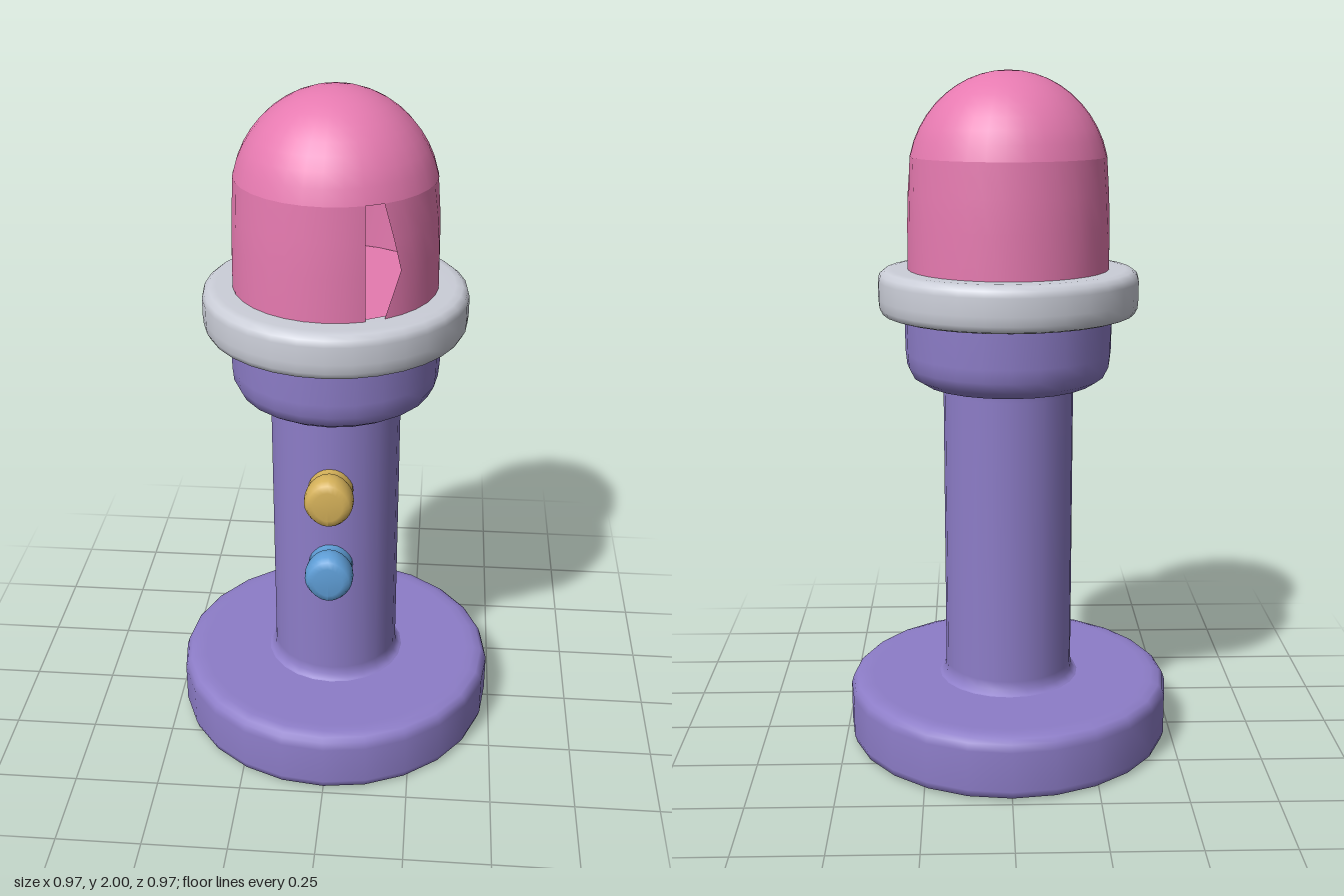
import * as THREE from 'three';

const mat = (name, color, side = THREE.FrontSide) => {
  const m = new THREE.MeshStandardMaterial({ color, side });
  m.name = name;
  return m;
};

// Turned part from [radius, height] pairs, listed bottom to top
const lathe = (pts, segments = 24) =>
  new THREE.LatheGeometry(pts.map(([r, y]) => new THREE.Vector2(r, y)), segments);

// Dome shell; each row carries the angle (degrees) where its wall resumes after the opening
function domeGeometry() {
  const edge = 20.2;
  const rows = [
    [0.292, 1.42, 31], [0.292, 1.44, 31], [0.291, 1.57, 41], [0.288, 1.66, 36.5],
    [0.282, 1.76, 31], [0.282, 1.7601, edge],
  ];
  for (let i = 1; i <= 10; i++) {
    const a = 0.245 + (Math.PI / 2 - 0.245) * (i / 10);
    rows.push([Math.max(0, 0.29 * Math.cos(a)), 1.69 + 0.31 * Math.sin(a), edge]);
  }
  const geo = lathe(rows, 32);
  const { position, normal } = geo.attributes;
  const up = new THREE.Vector3(0, 1, 0), v = new THREE.Vector3();
  const end = THREE.MathUtils.degToRad(edge) + Math.PI * 2;
  for (let k = 0; k < position.count; k++) {
    const u = Math.floor(k / rows.length) / 32;
    const start = THREE.MathUtils.degToRad(rows[k % rows.length][2]);
    const turn = start + u * (end - start) - u * Math.PI * 2;
    for (const attr of [position, normal]) {
      v.fromBufferAttribute(attr, k).applyAxisAngle(up, turn);
      attr.setXYZ(k, v.x, v.y, v.z);
    }
  }
  return geo;
}

// Push button facing +z, drawn out to a point above and below
function buttonGeometry() {
  const geo = lathe([
    [0.9, 0.15], [0.93, 0.205], [0.88, 0.213], [0.97, 0.222], [1, 0.24],
    [0.98, 0.265], [0.86, 0.28], [0.6, 0.286], [0, 0.286],
  ], 24);
  const p = geo.attributes.position;
  for (let k = 0; k < p.count; k++) {
    const x = p.getX(k), z = p.getZ(k), r = Math.hypot(x, z) || 1;
    const s = 0.069 + 0.009 * Math.abs(z / r) ** 5;
    p.setXYZ(k, x * s * 1.04, p.getY(k), z * s);
  }
  geo.rotateX(Math.PI / 2);
  geo.computeVertexNormals();
  return geo;
}

export function createModel() {
  const group = new THREE.Group();
  const purple = mat('purple', 0x8d7dc8);
  const pink = mat('pink', 0xe67ab0, THREE.DoubleSide);
  const grey = mat('light grey', 0xcbced8);
  const yellow = mat('yellow', 0xd6b25a);
  const blue = mat('blue', 0x5f9fd8);
  const add = (name, geo, material, y = 0) => {
    const m = new THREE.Mesh(geo, material);
    m.name = name;
    m.position.y = y;
    group.add(m);
  };

  // Foot, stalk and collar
  add('base', lathe([
    [0, 0], [0.465, 0], [0.465, 0], [0.48, 0.008], [0.487, 0.03], [0.487, 0.15],
    [0.48, 0.172], [0.468, 0.183], [0.445, 0.19], [0.42, 0.19], [0, 0.19],
  ]), purple);
  add('stalk', lathe([
    [0.225, 0.185], [0.207, 0.192], [0.195, 0.205], [0.192, 0.23], [0.192, 1.08], [0.195, 1.11],
  ]), purple);
  add('collar', lathe([
    [0, 1.1], [0.2, 1.1], [0.25, 1.108], [0.282, 1.128], [0.298, 1.16], [0.302, 1.2], [0.304, 1.33],
  ]), purple);

  // Rim around the dome
  add('rim', lathe([
    [0.27, 1.31], [0.35, 1.31], [0.368, 1.316], [0.377, 1.333], [0.379, 1.36], [0.379, 1.41],
    [0.374, 1.428], [0.36, 1.439], [0.34, 1.442], [0.27, 1.442],
  ], 32), grey);

  // Dome with its opening, and the floor seen through it
  add('dome', domeGeometry(), pink);
  add('domeFloor', new THREE.CircleGeometry(0.288, 32).rotateX(-Math.PI / 2), pink, 1.447);

  // Buttons on the stalk
  add('upperButton', buttonGeometry(), yellow, 0.868);
  add('lowerButton', buttonGeometry(), blue, 0.61);
  return group;
}
